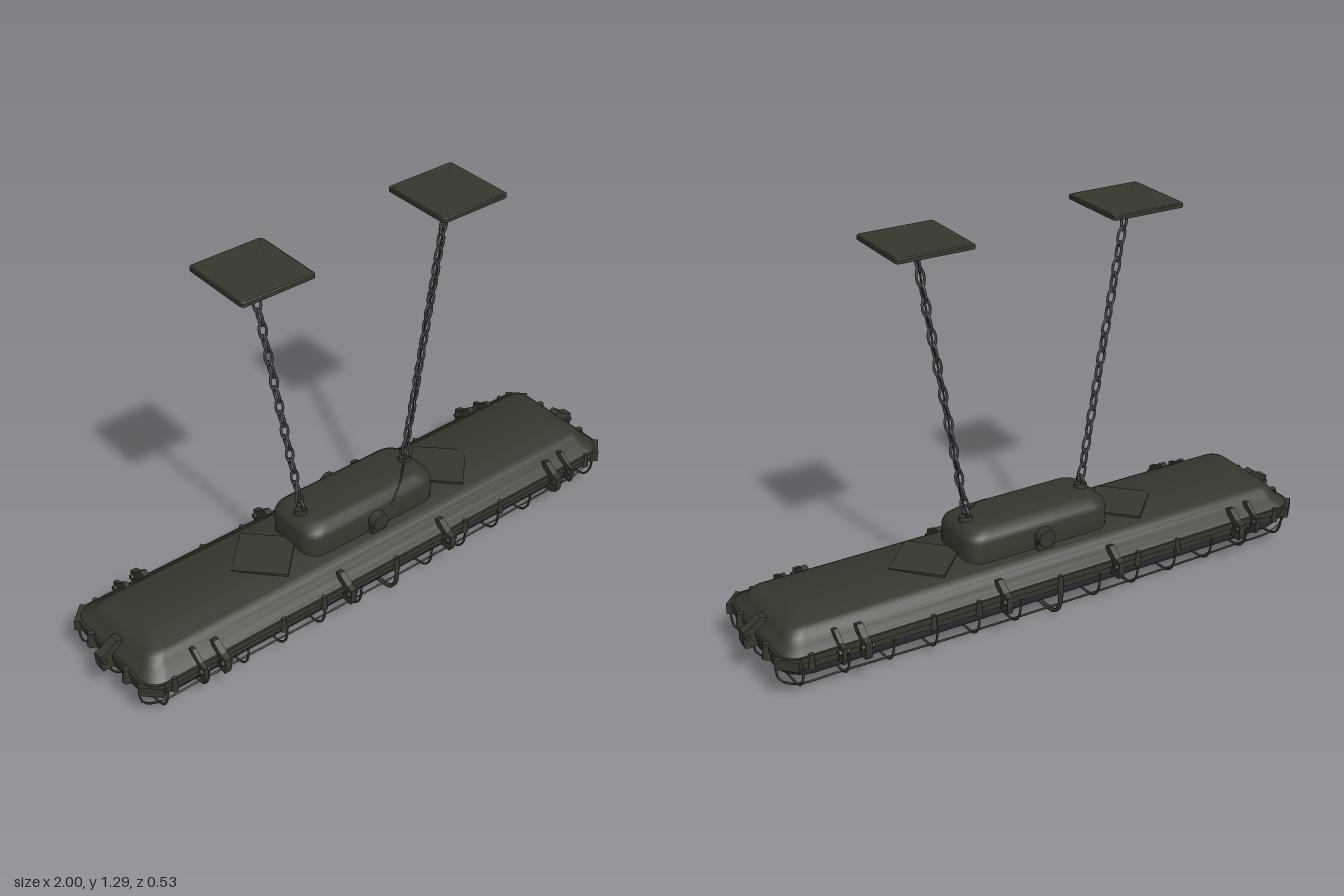
import * as THREE from 'three';
import { toCreasedNormals } from 'three/addons/utils/BufferGeometryUtils.js';

const V = (x, y, z) => new THREE.Vector3(x, y, z);
const mat = (name, color) => Object.assign(new THREE.MeshStandardMaterial({ color }), { name });

// Closed solid through rounded rectangles [y, halfX, halfZ, cornerRadius], listed upwards
function loft(rings, steps = 6) {
  const pos = [], idx = [], n = 4 * (steps + 1);
  for (const [y, hx, hz, r] of rings) {
    for (let q = 0; q < 4; q++) {
      const sx = q === 0 || q === 3 ? 1 : -1, sz = q < 2 ? 1 : -1;
      for (let s = 0; s <= steps; s++) {
        const a = (q + s / steps) * Math.PI / 2;
        pos.push(sx * (hx - r) + r * Math.cos(a), y, sz * (hz - r) + r * Math.sin(a));
      }
    }
  }
  for (let i = 0; i < rings.length - 1; i++) {
    for (let j = 0; j < n; j++) {
      const a = i * n + j, b = i * n + (j + 1) % n;
      idx.push(a, a + n, b, b, a + n, b + n);
    }
  }
  const top = rings.length * n, last = top - n;
  pos.push(0, rings[rings.length - 1][0], 0, 0, rings[0][0], 0);
  for (let j = 0; j < n; j++) {
    const k = (j + 1) % n;
    idx.push(top, last + k, last + j, top + 1, j, k);
  }
  const g = new THREE.BufferGeometry();
  g.setAttribute('position', new THREE.Float32BufferAttribute(pos, 3));
  g.setIndex(idx);
  return toCreasedNormals(g, 0.6);
}

const wire = (pts, r, segs = 32, closed = false) =>
  new THREE.TubeGeometry(new THREE.CatmullRomCurve3(pts, closed), segs, r, 6, closed);

export function createModel() {
  const olive = mat('olive metal', 0x35362c);
  const glass = mat('dark glass', 0x3a373f);
  const steel = mat('chain steel', 0x434249);
  const root = new THREE.Group();
  root.name = 'hangingLamp';
  const add = (name, geo, m, parent = root) => {
    const mesh = new THREE.Mesh(geo, m);
    mesh.name = name;
    parent.add(mesh);
    return mesh;
  };

  // Housing with a shallow roof, and the two rims that clamp together
  add('housing', loft([
    [0.15, 0.955, 0.222, 0.06], [0.16, 0.95, 0.215, 0.06], [0.172, 0.93, 0.19, 0.055],
    [0.19, 0.92, 0.173, 0.05], [0.205, 0.908, 0.162, 0.045], [0.214, 0.89, 0.145, 0.04],
    [0.225, 0.83, 0.006, 0.005]]), olive);
  add('upperRim', loft([[0.134, 0.96, 0.225, 0.065], [0.155, 0.96, 0.225, 0.065]]), olive);
  add('lowerRim', loft([[0.112, 0.955, 0.22, 0.065], [0.134, 0.955, 0.22, 0.065]]), olive);

  // Bowl-shaped glass cover
  add('glassCover', loft([
    [0.033, 0.8, 0.06, 0.05], [0.037, 0.87, 0.11, 0.08], [0.048, 0.91, 0.155, 0.09],
    [0.065, 0.935, 0.185, 0.09], [0.09, 0.948, 0.205, 0.08], [0.114, 0.95, 0.21, 0.07]]), glass);

  // Ballast box with side glands
  add('ballastBox', loft([
    [0.205, 0.268, 0.117, 0.06], [0.285, 0.268, 0.117, 0.06], [0.303, 0.262, 0.111, 0.06],
    [0.318, 0.245, 0.094, 0.055], [0.325, 0.225, 0.074, 0.05]]), olive);
  for (const s of [1, -1]) {
    const gland = add('gland', new THREE.CylinderGeometry(0.03, 0.034, 0.05, 16), olive);
    gland.rotation.x = s * Math.PI / 2;
    gland.position.set(0, 0.256, s * 0.12);
    const foot = add('glandFoot', new THREE.BoxGeometry(0.06, 0.045, 0.04), olive);
    foot.position.set(0, 0.233, s * 0.115);
    // Diamond pads beside the box
    const pad = add('diamondPad', new THREE.CylinderGeometry(0.13, 0.13, 0.008, 4), olive);
    pad.position.set(s * 0.37, 0.223, 0);
  }

  // Latches around the rim
  const latchShape = new THREE.Shape([
    [-0.01, 0.104], [0.03, 0.104], [0.036, 0.125], [0.036, 0.163], [0.012, 0.17],
    [-0.025, 0.198], [-0.045, 0.192], [-0.03, 0.165], [-0.01, 0.15]].map(p => new THREE.Vector2(...p)));
  const latchGeo = w => new THREE.ExtrudeGeometry(latchShape, { depth: w, bevelEnabled: false })
    .translate(0, 0, -w / 2).rotateY(-Math.PI / 2);
  const latch = (x, z, turn, w) => {
    const g = new THREE.Group();
    g.name = 'latch';
    add('latchArm', latchGeo(w), olive, g);
    const pin = add('latchPin', new THREE.CylinderGeometry(0.009, 0.009, w + 0.02, 10), olive, g);
    pin.rotation.z = Math.PI / 2;
    pin.position.set(0, 0.145, 0.024);
    g.position.set(x, 0, z);
    g.rotation.y = turn;
    root.add(g);
  };
  for (const s of [1, -1]) {
    const turn = s > 0 ? 0 : Math.PI;
    for (const x of [-0.7, -0.21, 0.21, 0.7]) latch(x, s * 0.228, turn, 0.022);
    for (const x of [-0.775, 0.775]) latch(x, s * 0.218, turn, 0.014);
    latch(s * 0.964, 0, s * Math.PI / 2, 0.034);
    // Rim lugs on long sides, ends and corners
    for (const x of [-0.87, -0.46, -0.3, 0, 0.3, 0.46, 0.87]) {
      const lug = add('rimLug', new THREE.CylinderGeometry(0.008, 0.012, 0.05, 8), olive);
      lug.position.set(x, 0.135, s * 0.223);
    }
    for (const z of [-0.1, 0.1]) {
      const lug = add('endLug', new THREE.CylinderGeometry(0.012, 0.018, 0.05, 8), olive);
      lug.position.set(s * 0.96, 0.135, z);
    }
    for (const z of [-1, 1]) {
      const lug = add('cornerLug', new THREE.BoxGeometry(0.08, 0.035, 0.03), olive);
      lug.position.set(s * 0.935, 0.135, z * 0.2);
      lug.rotation.y = s * z * Math.PI / 4;
    }
  }

  // Wire guard: cross hoops, long rails and end wires
  const railY = x => 0.019 + 0.016 * (x / 0.9) ** 2;
  const hoop = (x, drop) => [
    [0.228, 0.125], [0.22, 0.07], [0.195, 0.036], [0.15, 0.026], [0, 0.026],
    [-0.15, 0.026], [-0.195, 0.036], [-0.22, 0.07], [-0.228, 0.125]]
    .map(([z, y]) => V(x, y < 0.1 ? y - drop : y, z));
  for (let i = -6; i <= 6; i++) {
    const x = i * 0.15;
    if (i) add('guardHoop', wire(hoop(x, 0.026 - railY(x)), 0.004), olive);
  }
  const band = wire(hoop(0, 0.0195), 0.0065, 40);
  band.scale(1.5, 1, 1);
  add('centreBand', band, olive);
  for (const z of [-0.17, 0, 0.17]) {
    const pts = [V(-0.965, 0.12, z), V(-0.955, 0.07, z)];
    for (let i = -6; i <= 6; i++) pts.push(V(i * 0.15, railY(i * 0.15), z));
    pts.push(V(0.955, 0.07, z), V(0.965, 0.12, z));
    add('guardRail', wire(pts, 0.0035, 90), olive);
  }

  // Chains, eyes and ceiling plates
  const links = 18;
  const linkGeo = new THREE.TorusGeometry(0.013, 0.0045, 6, 14).scale(1, 2.1, 1);
  for (const s of [1, -1]) {
    const from = V(s * 0.218, 0.35, 0), to = V(s * 0.37, 1.245, 0);
    const chain = new THREE.Group();
    chain.name = 'chain';
    chain.position.copy(from);
    chain.quaternion.setFromUnitVectors(V(0, 1, 0), to.clone().sub(from).normalize());
    root.add(chain);
    for (let i = 0; i < links; i++) {
      const link = add('chainLink', linkGeo, steel, chain);
      link.position.y = (i + 0.5) * from.distanceTo(to) / links;
      link.rotation.y = i % 2 ? Math.PI / 2 : 0;
    }
    const base = add('eyeBase', new THREE.CylinderGeometry(0.02, 0.024, 0.018, 12), olive);
    base.position.set(s * 0.218, 0.328, 0);
    const eye = add('chainEye', new THREE.TorusGeometry(0.016, 0.006, 8, 16), olive);
    eye.position.set(s * 0.218, 0.348, 0);
    eye.rotation.y = Math.PI / 2;
    const plate = add('ceilingPlate', loft([
      [1.277, 0.13, 0.132, 0.012], [1.289, 0.13, 0.132, 0.012], [1.292, 0.126, 0.128, 0.01]], 3), olive);
    plate.position.x = s * 0.37;
    const disc = add('plateDisc', new THREE.CylinderGeometry(0.07, 0.066, 0.016, 24), olive);
    disc.position.set(s * 0.37, 1.27, 0);
    const hook = add('plateHook', new THREE.TorusGeometry(0.014, 0.005, 8, 16), olive);
    hook.position.set(s * 0.37, 1.252, 0);
  }

  // Power cable from the front gland up along one chain
  add('powerCable', wire([
    V(0, 0.262, 0.14), V(0.04, 0.285, 0.135), V(0.12, 0.318, 0.09), V(0.19, 0.338, 0.03),
    V(0.226, 0.38, 0), V(0.25, 0.54, 0.003), V(0.294, 0.8, -0.003), V(0.337, 1.05, 0.003),
    V(0.37, 1.265, 0)], 0.003, 64), olive);

  return root;
}
